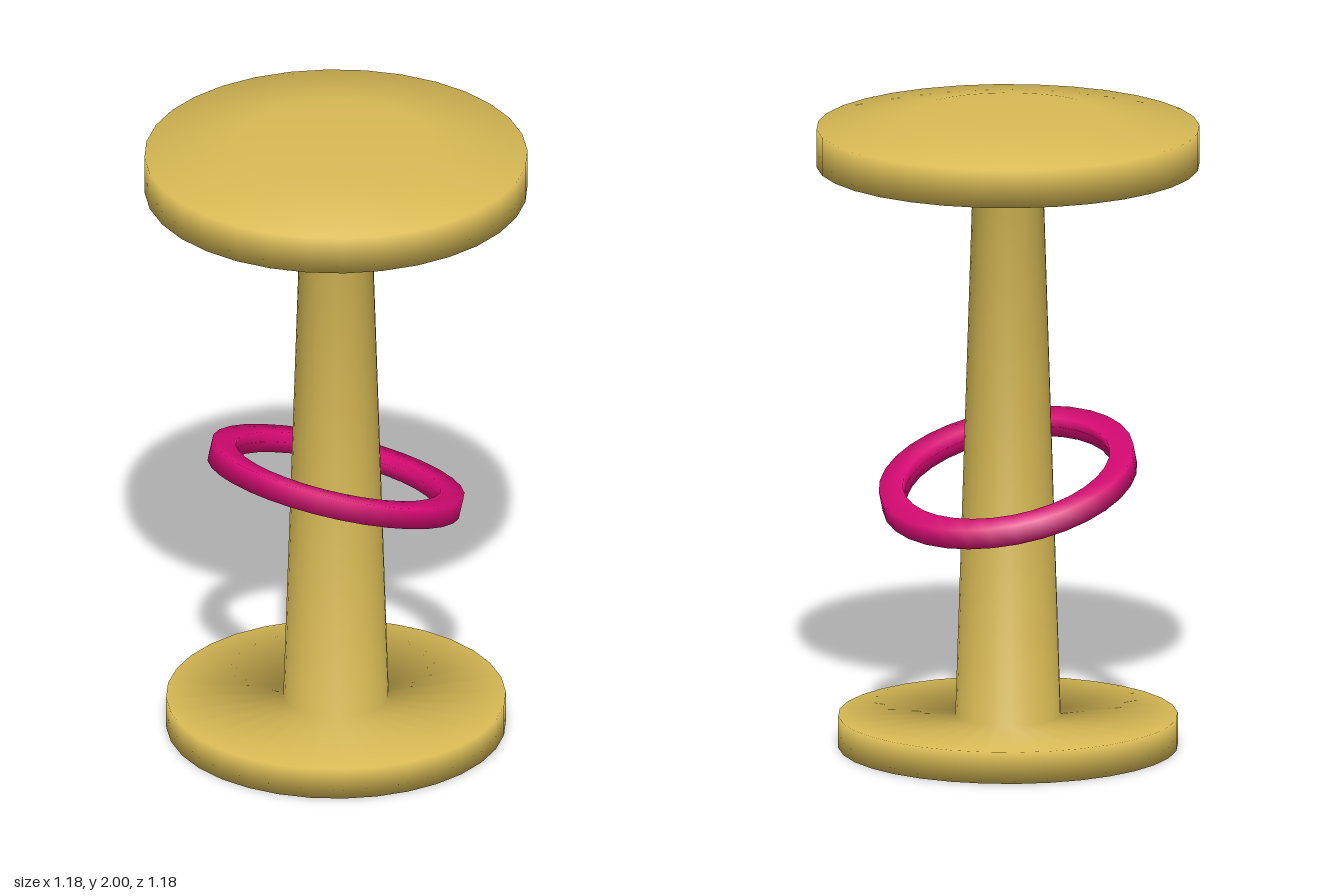
import * as THREE from 'three';

const gold = new THREE.MeshStandardMaterial({ color: 0xd8ba55 });
gold.name = 'gold';
const pink = new THREE.MeshStandardMaterial({ color: 0xd80a74 });
pink.name = 'pink';

// Turned part from [radius, height] pairs, listed bottom to top on the outside
function turned(name, profile, material) {
  const points = profile.map(([r, y]) => new THREE.Vector2(r, y));
  const mesh = new THREE.Mesh(new THREE.LatheGeometry(points, 32), material);
  mesh.name = name;
  return mesh;
}

export function createModel() {
  const model = new THREE.Group();
  model.name = 'pedestalWithRing';

  // Base disc, tapering post and round top in one smooth turning
  model.add(turned('pedestal', [
    [0, 0], [0.525, 0], [0.525, 0.1],
    [0.163, 0.1], [0.108, 1.83],
    [0.592, 1.84], [0.592, 1.96], [0.3, 2], [0, 2],
  ], gold));

  // Tilted loose ring; the profile starts mid inner face so the seam stays smooth
  const [inner, outer, half] = [0.325, 0.4, 0.033];
  const ring = turned('ring', [
    [inner, 0], [inner, -half], [outer, -half],
    [outer, half], [inner, half], [inner, 0],
  ], pink);
  ring.position.y = 0.85;
  ring.rotation.set(-0.09, 0, -0.29);
  model.add(ring);

  return model;
}
